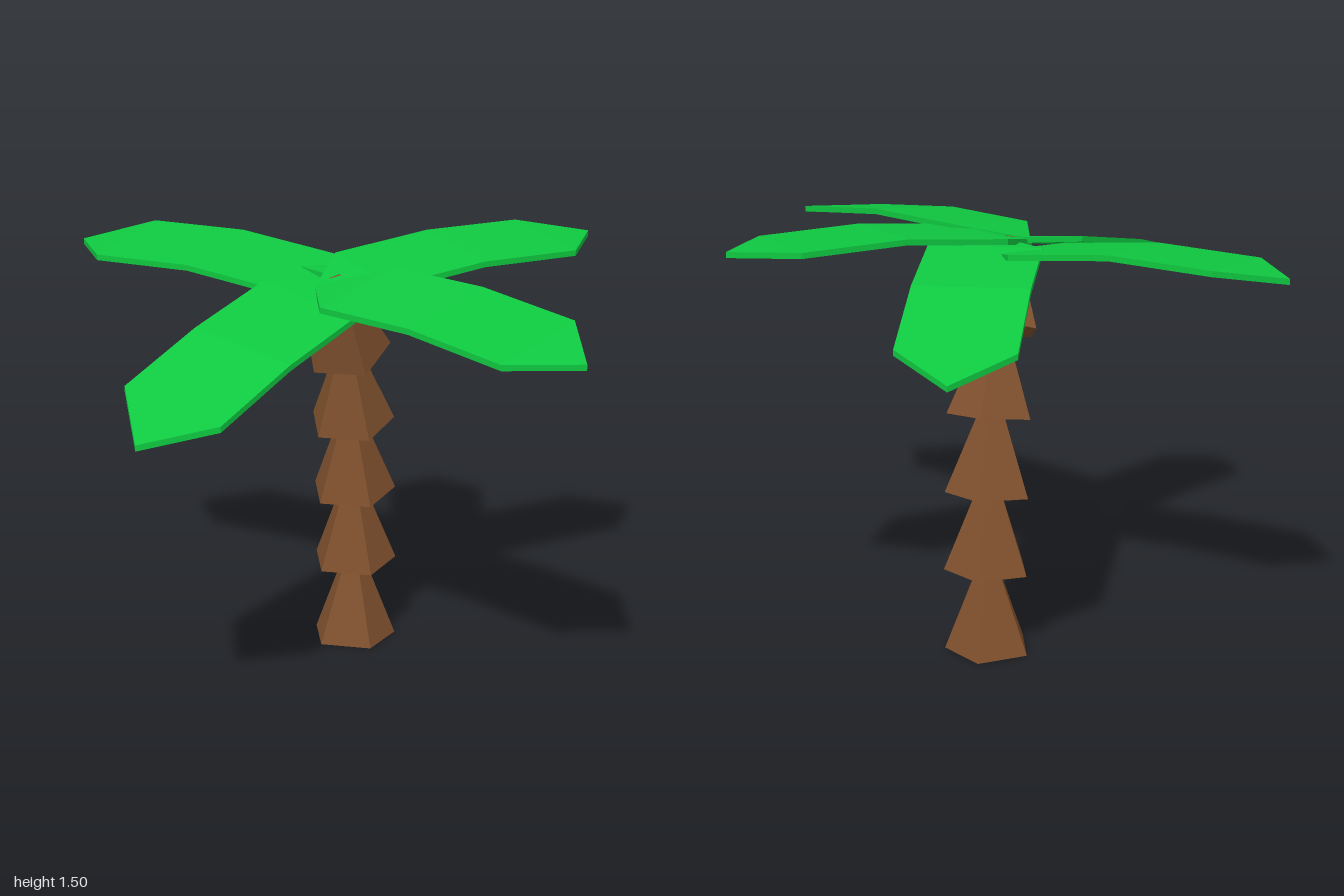
import * as THREE from 'three';

const bark = new THREE.MeshStandardMaterial({ color: 0x80512e, flatShading: true });
bark.name = 'bark brown';
const green = new THREE.MeshStandardMaterial({ color: 0x0fc840, flatShading: true });
green.name = 'leaf green';

// Trunk: [base y, base z, forward tilt in degrees] of each flared segment
const SEGMENTS = [
  [0, -0.23, 0],
  [0.294, -0.234, 4.4],
  [0.569, -0.213, 7.7],
  [0.839, -0.182, 13.5],
  [1.126, -0.102, 27.5],
];

// Fronds: at = centre of the outer corners (x, z), dir = outward direction,
// y = heights from inner point to outer point, roll = sideways rise, k = foreshortening
const FRONDS = [
  { name: 'frondRight', at: [-0.788, -0.265], dir: [-0.964, -0.266], y: [1.37, 1.405, 1.45, 1.445, 1.42], roll: 0.022, k: 1 },
  { name: 'frondBackLeft', at: [0.683, -0.489], dir: [0.76, -0.65], y: [1.39, 1.44, 1.48, 1.477, 1.472], roll: -0.015, k: 1 },
  { name: 'frondFrontLeft', at: [0.794, 0.526], dir: [0.88, 0.475], y: [1.4, 1.425, 1.42, 1.372, 1.335], roll: -0.03, k: 1 },
  { name: 'frondFrontRight', at: [-0.307, 0.844], dir: [-0.41, 0.912], y: [1.41, 1.38, 1.3, 1.187, 1.105], roll: 0.03, k: 0.96 },
  { name: 'frondBack', at: [-0.003, -0.828], dir: [-0.125, -0.992], y: [1.41, 1.415, 1.37, 1.26, 1.205], roll: 0, k: 0.97 },
];

// Bent, long hexagonal blade with a thin edge
function frondGeometry({ at, dir, y, roll, k }) {
  const halfWidth = 0.195, thickness = 0.02;
  const along = [-0.925, -0.735, -0.3675, 0, 0.185];
  const point = (row, side) => new THREE.Vector3(
    at[0] + dir[0] * along[row] * k - dir[1] * halfWidth * side,
    y[row] + roll * side,
    at[1] + dir[1] * along[row] * k + dir[0] * halfWidth * side,
  );
  const top = [[0, 0], [1, 1], [2, 1], [3, 1], [4, 0], [3, -1], [2, -1], [1, -1]]
    .map(([row, side]) => point(row, side));
  const bottom = top.map((p) => p.clone().setY(p.y - thickness));

  const corners = [];
  for (const [a, b, c] of [[0, 1, 7], [1, 2, 6], [1, 6, 7], [2, 3, 5], [2, 5, 6], [3, 4, 5]]) {
    corners.push(top[a], top[b], top[c], bottom[a], bottom[c], bottom[b]);
  }
  for (let i = 0; i < 8; i++) {
    const j = (i + 1) % 8;
    corners.push(top[i], bottom[i], bottom[j], top[i], bottom[j], top[j]);
  }
  const geometry = new THREE.BufferGeometry().setFromPoints(corners);
  geometry.computeVertexNormals();
  return geometry;
}

export function createModel() {
  const model = new THREE.Group();
  model.name = 'palmTree';

  // Five-sided trunk segments, flat side to the front
  const trunk = new THREE.Group();
  trunk.name = 'trunk';
  const height = 0.32;
  const segmentGeometry = new THREE.CylinderGeometry(0.032, 0.155, height, 5)
    .rotateY(Math.PI).translate(0, height / 2, 0);
  SEGMENTS.forEach(([y, z, tilt], i) => {
    const segment = new THREE.Mesh(segmentGeometry, bark);
    segment.name = `trunkSegment${i + 1}`;
    segment.position.set(0.05, y, z);
    segment.rotation.x = THREE.MathUtils.degToRad(tilt);
    trunk.add(segment);
  });
  model.add(trunk);

  // Crown of fronds
  const crown = new THREE.Group();
  crown.name = 'crown';
  for (const spec of FRONDS) {
    const frond = new THREE.Mesh(frondGeometry(spec), green);
    frond.name = spec.name;
    crown.add(frond);
  }
  model.add(crown);
  return model;
}
